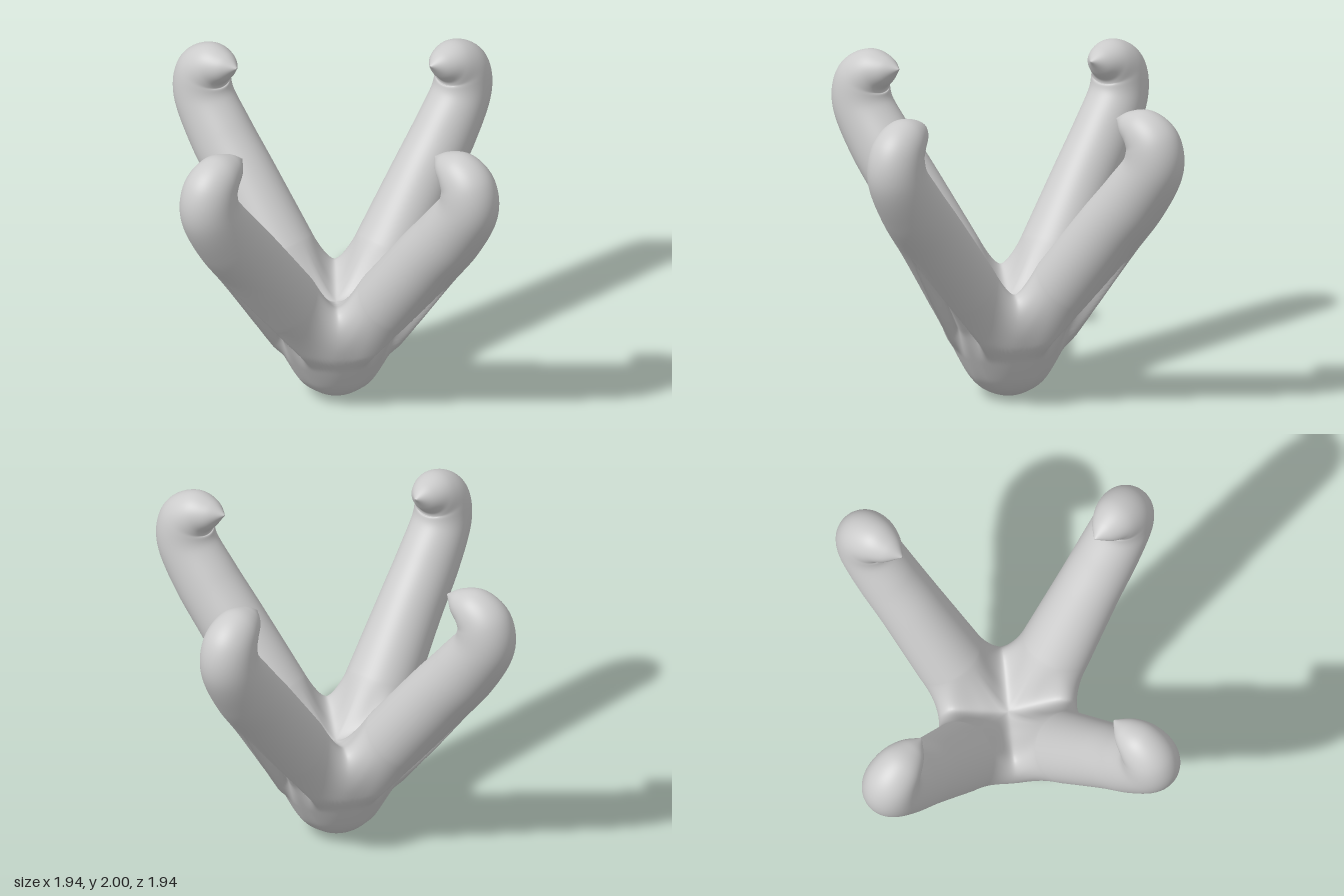
import * as THREE from 'three';

const SIDES = 120, HUB_ROWS = 44, ARM_ROWS = 72;
const rad = THREE.MathUtils.degToRad, smooth = THREE.MathUtils.smoothstep;
const V = (x, y, z = 0) => new THREE.Vector3(x, y, z);
const spline = (pts) => new THREE.CatmullRomCurve3(pts, false, 'catmullrom', 0.5);

// Arm stations: distance out, height, tilt from vertical (degrees), half depth, half width
const stations = [
  [0.465, 0.79, 38, 0.22, 0.222],
  [0.62, 0.99, 38, 0.215, 0.21],
  [0.785, 1.20, 38, 0.21, 0.198],
  [0.965, 1.42, 33, 0.205, 0.19],
  [1.105, 1.64, 12, 0.192, 0.178],
  [1.105, 1.795, -20, 0.173, 0.164],
  [1.015, 1.87, -62, 0.137, 0.138],
  [0.915, 1.89, -78, 0.082, 0.088],
  [0.832, 1.905, -85, 0.004, 0.006],
];
const spine = spline(stations.map(([r, y, tilt]) => V(r, y, rad(tilt))));
const girth = spline(stations.map(([, , , h, w]) => V(h, w)));

// Hub outline where neighbouring arms meet, from bottom pole to the top hollow
// (one extra mirrored point at each end keeps the poles level)
const seam = spline([
  [-0.15, 0.04], [0, 0], [0.15, 0.04], [0.26, 0.14], [0.35, 0.3], [0.415, 0.5],
  [0.41, 0.65], [0.33, 0.725], [0.16, 0.665], [0, 0.61], [-0.16, 0.665],
].map(([u, y]) => V(u, y)));

// Point on the arm's elliptical section at t along the arm
function armPoint(t, angle) {
  const c = spine.getPoint(t), g = girth.getPoint(t);
  const d = g.x * Math.cos(angle);
  return V(c.x + Math.cos(c.z) * d, c.y - Math.sin(c.z) * d, g.y * Math.sin(angle));
}

// Ease the underside into a ball that opens as a cone towards the arms
function roundBase(p) {
  const y = Math.min(Math.max(p.y, 0), 0.16);
  const limit = Math.sqrt(0.62 * y - y * y) + 0.55 * Math.max(0, p.y - 0.16) + 0.4 * smooth(p.y, 0.3, 0.65);
  const out = Math.max(Math.hypot(p.x, p.z), 1e-6), soft = 0.2 * limit + 1e-6;
  const overlap = Math.max(soft - Math.abs(out - limit), 0);
  const scale = Math.max(Math.min(out, limit) - overlap * overlap / (4 * soft), 0) / out;
  const fade = 1 - smooth(p.y, 0.45, 0.65);
  const k = 1 + (scale - 1) * fade;
  return p.set(p.x * k, p.y, p.z * k);
}

// Smooth blend from the hub seam into the first arm section
function hubPoint(s, angle) {
  const side = angle <= Math.PI ? 1 : -1;
  const half = side > 0 ? angle : 2 * Math.PI - angle;
  const t = 0.1 + 0.8 * half / Math.PI;
  const p = seam.getPoint(t), k = seam.getTangent(t);
  if (half > Math.PI / 2) k.negate();
  const q = Math.SQRT1_2;
  const start = V(p.x * q, p.y, side * p.x * q);
  const end = armPoint(0, angle);
  const reach = start.distanceTo(end) * (0.58 + 0.32 * smooth(Math.cos(half), 0, 1));
  const along = V(k.x * q, k.y, side * k.x * q).multiplyScalar(1 - smooth(p.x, 0, 0.3));
  const leave = V(q, 0, -side * q).add(along).setLength(reach);
  const arrive = V(Math.sin(rad(38)), Math.cos(rad(38))).setLength(reach);
  const s2 = s * s, s3 = s2 * s;
  return roundBase(start.multiplyScalar(2 * s3 - 3 * s2 + 1)
    .addScaledVector(leave, s3 - 2 * s2 + s)
    .addScaledVector(end, 3 * s2 - 2 * s3)
    .addScaledVector(arrive, s3 - s2));
}

// Tapered groove with a rounded floor, pressed into the outer face
function pressGroove(p, angle) {
  if (Math.cos(angle) <= 0 || p.y > 1.08) return p;
  const half = 0.13 * Math.min(1, (1.08 - p.y) / 0.65);
  const across = Math.abs(p.z) / half;
  const depth = Math.min(0.09, half * 1.2) * smooth(p.y, 0.3, 0.46)
    * (1 - smooth(across, 0.45, 1)) * (0.75 + 0.25 * smooth(across, 0, 0.5));
  return p.add(V(-Math.cos(rad(38)) * depth, Math.sin(rad(38)) * depth));
}

// One quarter of the hub together with its arm and hooked tip
function armGeometry() {
  const pos = [], index = [], rows = HUB_ROWS + ARM_ROWS;
  for (let i = 0; i <= rows; i++) {
    for (let j = 0; j < SIDES; j++) {
      // Points crowd towards the grooved outer face
      const turn = j / SIDES * Math.PI * 2, angle = turn - 0.45 * Math.sin(turn);
      const p = i < HUB_ROWS ? hubPoint(i / HUB_ROWS, angle) : armPoint((i - HUB_ROWS) / ARM_ROWS, angle);
      pos.push(...pressGroove(p, angle).toArray());
      if (i === rows) continue;
      const a = i * SIDES + j, b = i * SIDES + (j + 1) % SIDES;
      index.push(a, a + SIDES, b, b, a + SIDES, b + SIDES);
    }
  }
  // Tip cap
  for (let j = 1; j < SIDES - 1; j++) index.push(rows * SIDES, rows * SIDES + j + 1, rows * SIDES + j);
  const geo = new THREE.BufferGeometry();
  geo.setAttribute('position', new THREE.Float32BufferAttribute(pos, 3));
  geo.setIndex(index);
  geo.computeVertexNormals();
  // Seam normals lie in the mirror planes so the quarters join smoothly
  const normals = geo.attributes.normal, n = V(0, 0);
  for (let j = 0; j < SIDES; j++) {
    if (j === 0) n.set(0, -1, 0);
    else if (j === SIDES / 2) n.set(0, 1, 0);
    else {
      const plane = V(Math.SQRT1_2, 0, j < SIDES / 2 ? -Math.SQRT1_2 : Math.SQRT1_2);
      n.fromBufferAttribute(normals, j).projectOnPlane(plane).normalize();
    }
    normals.setXYZ(j, n.x, n.y, n.z);
  }
  return geo;
}

export function createModel() {
  const model = new THREE.Group();
  model.name = 'fourArmedClaw';
  const material = new THREE.MeshStandardMaterial({ color: 0xcccccc });
  const geometry = armGeometry();
  const names = ['backLeftArm', 'backRightArm', 'frontRightArm', 'frontLeftArm'];
  names.forEach((name, k) => {
    const arm = new THREE.Mesh(geometry, material);
    arm.name = name;
    arm.rotation.y = Math.PI / 4 + k * Math.PI / 2;
    model.add(arm);
  });
  return model;
}
